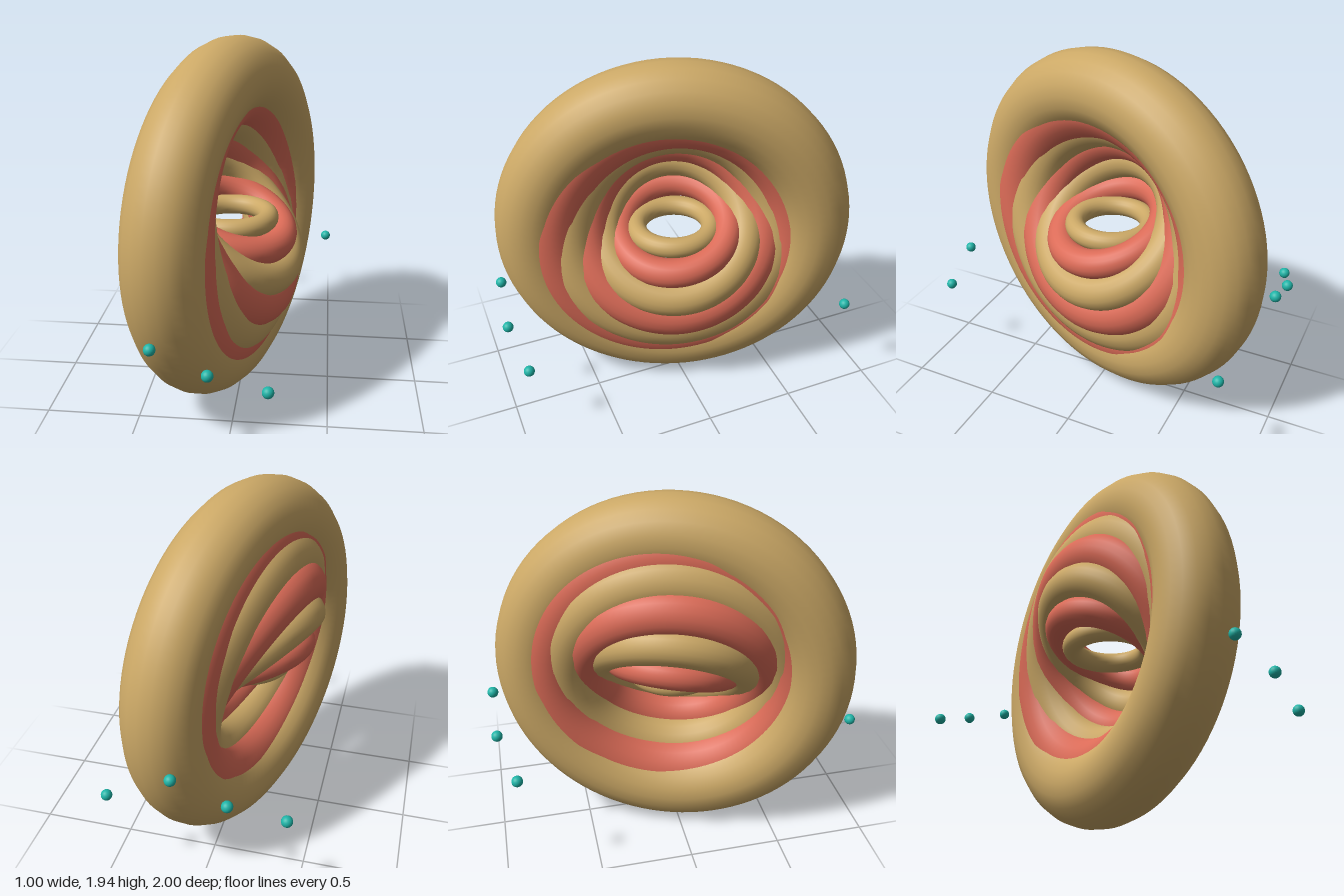
import * as THREE from 'three';

const mat = (name, color) => {
  const m = new THREE.MeshStandardMaterial({ color });
  m.name = name;
  return m;
};

export function createModel() {
  const model = new THREE.Group();
  model.name = 'nestedRings';
  const gold = mat('gold', 0xcba866);
  const red = mat('coral red', 0xdb6b57);
  const teal = mat('teal', 0x1fb5a8);

  // Concentric rings, each smaller and turned further until the last lies flat
  const centre = new THREE.Vector3(-0.06, 0.975, -0.005);
  const turns = [ // y and z of each ring's axis
    [0, 0.31], [0.05, 0.27], [0.2, 0.24], [0.44, 0.24], [0.7, 0.25], [0.92, 0.2], [1, 0],
  ];
  const facing = new THREE.Vector3(0, 0, 1);
  turns.forEach(([ny, nz], i) => {
    const axis = new THREE.Vector3(Math.sqrt(Math.max(0, 1 - ny * ny - nz * nz)), ny, nz).normalize();
    const ring = new THREE.Mesh(
      new THREE.TorusGeometry(0.765 - 0.0933 * i, 0.205 - 0.025 * i, 20, 96),
      i % 2 ? red : gold,
    );
    ring.name = `ring${i + 1}`;
    ring.quaternion.setFromUnitVectors(facing, axis);
    ring.position.copy(centre);
    model.add(ring);
  });

  // Small beads floating around the rings
  const beadShape = new THREE.SphereGeometry(0.029, 20, 14);
  [
    [-0.33, 0.66, 0.935], [-0.06, 0.56, 0.968], [0.215, 0.465, 0.928],
    [0.465, 0.56, -0.828], [0.07, 0.86, -0.972], [-0.2, 0.76, -0.972], [-0.467, 0.66, -0.895],
  ].forEach((p, i) => {
    const bead = new THREE.Mesh(beadShape, teal);
    bead.name = `bead${i + 1}`;
    bead.position.set(...p);
    model.add(bead);
  });

  return model;
}
